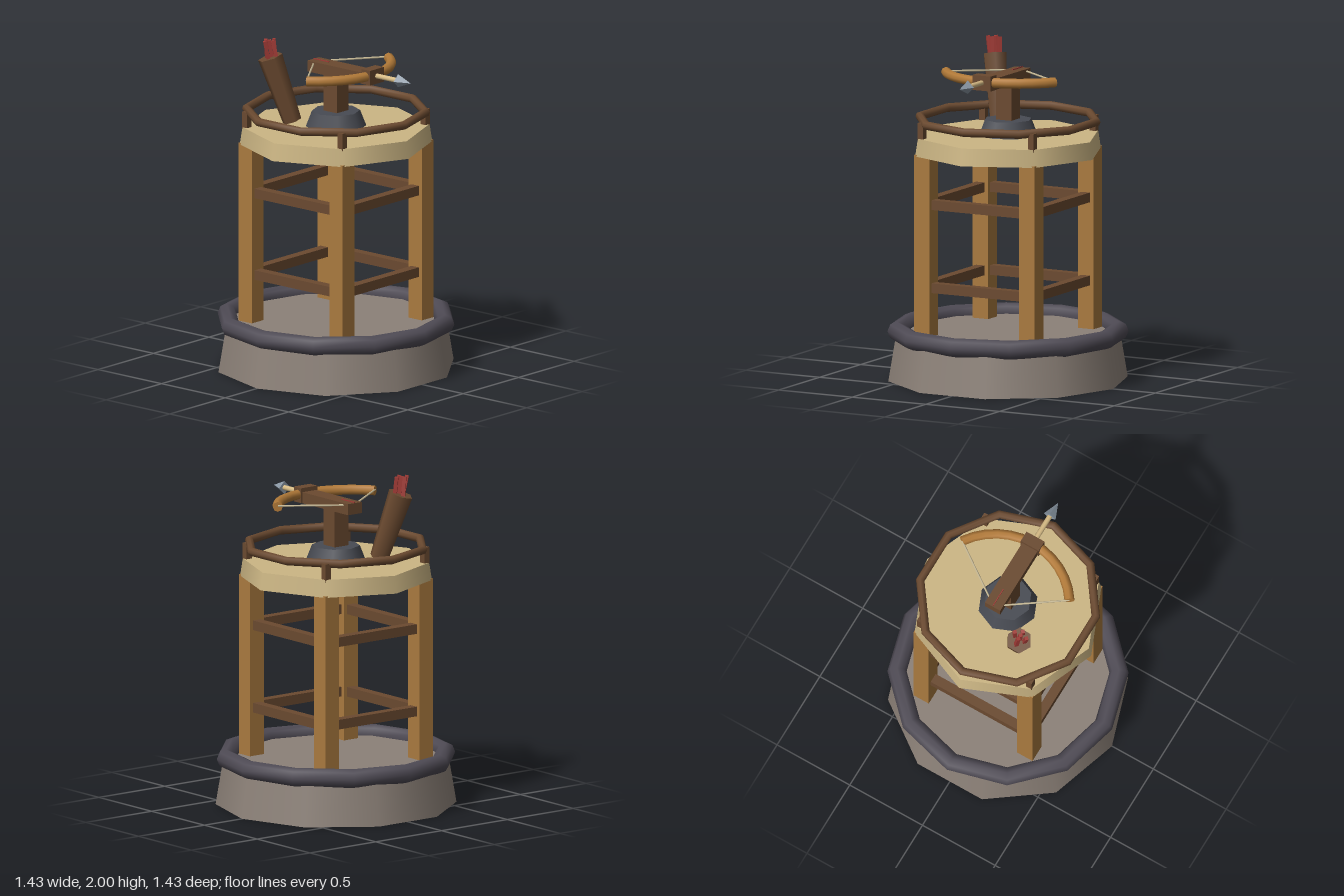
import * as THREE from 'three';

const mat = (color, flatShading = false) => new THREE.MeshStandardMaterial({ color, flatShading });
const UP = new THREE.Vector3(0, 1, 0);

export function createModel() {
  const model = new THREE.Group();
  const stone = mat(0x8c8178), darkStone = mat(0x4f4b55), wood = mat(0xaa7a3f), darkWood = mat(0x6b4a30);
  const planks = mat(0xccb684), iron = mat(0x484b53), bowWood = mat(0xb27a38), steel = mat(0x8c99a6, true);
  const shaftWood = mat(0xd9bd86), cord = mat(0xcbbd98), red = mat(0xa03a35, true);

  const add = (name, geometry, material, x = 0, y = 0, z = 0) => {
    const mesh = new THREE.Mesh(geometry, material);
    mesh.name = name;
    mesh.position.set(x, y, z);
    model.add(mesh);
    return mesh;
  };
  const box = (name, material, size, pos) => add(name, new THREE.BoxGeometry(...size), material, ...pos);
  const ring = (radius, tube, segments) => new THREE.TorusGeometry(radius, tube, 8, segments).rotateX(Math.PI / 2);
  // Tapered rod running from point a to point b
  const rod = (name, material, a, b, ra, rb, sides) => {
    const from = new THREE.Vector3(...a), to = new THREE.Vector3(...b);
    const dir = to.clone().sub(from);
    const mesh = add(name, new THREE.CylinderGeometry(rb, ra, dir.length(), sides), material);
    mesh.position.copy(from).add(to).multiplyScalar(0.5);
    mesh.quaternion.setFromUnitVectors(UP, dir.normalize());
    return mesh;
  };

  // Stone foundation and its rim
  add('foundation', new THREE.CylinderGeometry(0.667, 0.715, 0.286, 10), stone, 0, 0.143, 0);
  add('foundationRim', ring(0.658, 0.057, 12), darkStone, 0, 0.288, 0);

  // Four legs and rail posts
  for (const sx of [-1, 1]) for (const sz of [-1, 1]) {
    box('leg', wood, [0.105, 1.1, 0.105], [sx * 0.357, 0.825, sz * 0.357]);
    box('railPost', darkWood, [0.04, 0.125, 0.04], [sx * 0.375, 1.503, sz * 0.375]);
  }

  // Two levels of cross beams
  for (const y of [0.578, 1.078]) for (const s of [-1, 1]) {
    box('beam', darkWood, [0.818, 0.058, 0.058], [0, y, s * 0.357]);
    box('beam', darkWood, [0.058, 0.058, 0.818], [s * 0.357, y, 0]);
  }

  // Platform and guard rail
  add('platform', new THREE.CylinderGeometry(0.556, 0.572, 0.105, 8), planks, 0, 1.418, 0);
  add('guardRail', ring(0.533, 0.026, 10), darkWood, 0, 1.563, 0);

  // Turret mount
  add('mount', new THREE.CylinderGeometry(0.143, 0.18, 0.095, 8), iron, 0, 1.5175, 0);
  box('mountPost', darkWood, [0.105, 0.26, 0.105], [0, 1.67, 0]);

  // Crossbow stock and front block
  box('stock', darkWood, [0.48, 0.067, 0.105], [0.06, 1.815, 0]);
  box('frontBlock', darkWood, [0.068, 0.09, 0.124], [0.288, 1.828, 0]);

  // Bow arc and strings
  const arc = 1.98, bowRadius = 0.442, bowX = -0.152;
  const bow = new THREE.TorusGeometry(bowRadius, 0.03, 8, 12, arc).rotateZ(-arc / 2).rotateX(Math.PI / 2);
  add('bow', bow, bowWood, bowX, 1.83, 0);
  for (const s of [-1, 1]) {
    // End cap closing the open tube
    const cap = new THREE.CircleGeometry(0.03, 8);
    const a = s * arc / 2;
    const x = bowX + bowRadius * Math.cos(a), z = bowRadius * Math.sin(a);
    const end = add('bowTip', cap, bowWood, x, 1.83, z);
    end.rotation.y = Math.atan2(-Math.sin(a) * s, Math.cos(a) * s);
    rod('bowString', cord, [x, 1.835, z], [-0.17, 1.835, 0], 0.006, 0.006, 5);
  }

  // Loaded bolt
  rod('boltShaft', shaftWood, [-0.16, 1.83, 0], [0.5, 1.83, 0], 0.016, 0.016, 8);
  add('boltHead', new THREE.ConeGeometry(0.04, 0.1, 4).rotateZ(-Math.PI / 2), steel, 0.538, 1.83, 0);
  box('boltFletching', red, [0.12, 0.045, 0.005], [-0.115, 1.832, 0]);

  // Leaning quiver with spare bolts
  rod('quiver', darkWood, [-0.197, 1.5, 0.17], [-0.297, 1.89, 0.253], 0.058, 0.077, 6);
  for (const [dx, dz] of [[0, 0], [-1, 0], [1, 0], [0, -1], [0, 1]]) {
    rod('spareBolt', red,
      [-0.283 + dx * 0.045, 1.84, 0.243 + dz * 0.03],
      [-0.297 + dx * 0.026, 1.996, 0.262 + dz * 0.04], 0.017, 0.015, 4);
  }
  return model;
}
